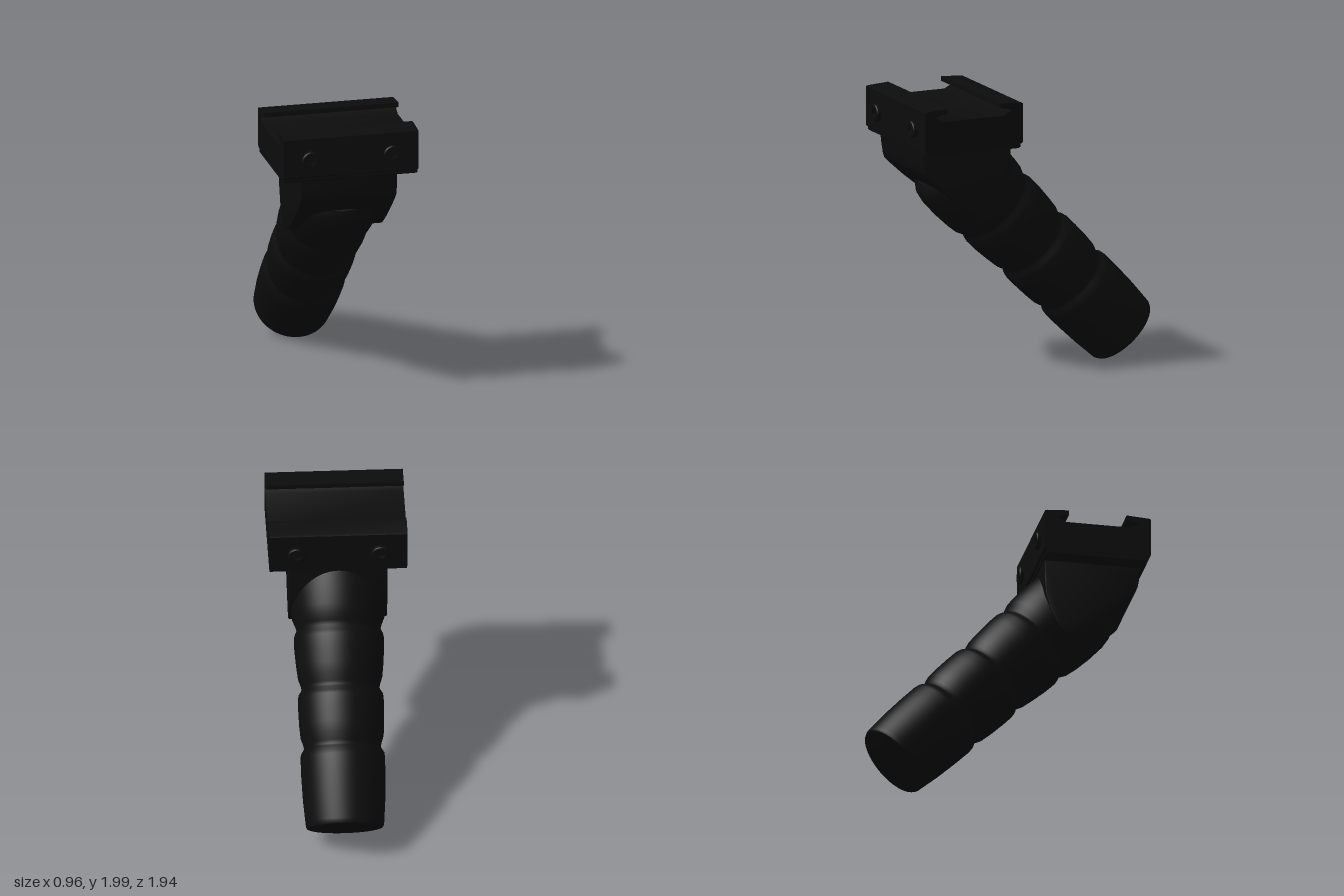
import * as THREE from 'three';
import { toCreasedNormals } from 'three/addons/utils/BufferGeometryUtils.js';

const black = new THREE.MeshStandardMaterial({ color: 0x0c0c0c });
black.name = 'matte black';

const vec = (pts) => pts.map(([a, b]) => new THREE.Vector2(a, b));

function addMesh(parent, name, geometry) {
  const mesh = new THREE.Mesh(geometry, black);
  mesh.name = name;
  parent.add(mesh);
  return mesh;
}

// Extrude a side outline given as [z, y] across the width, centred on x = 0
function sideExtrude(pts, halfWidth, bevel = 0) {
  const depth = 2 * (halfWidth - bevel);
  const geo = new THREE.ExtrudeGeometry(new THREE.Shape(vec(pts)), {
    depth, bevelEnabled: bevel > 0, bevelSize: bevel, bevelOffset: -bevel,
    bevelThickness: bevel, bevelSegments: 2,
  });
  geo.translate(0, 0, -depth / 2);
  geo.rotateY(-Math.PI / 2);
  return toCreasedNormals(geo, 0.6);
}

function lathe(pts, segments) {
  return toCreasedNormals(new THREE.LatheGeometry(vec(pts), segments), 0.6);
}

export function createModel() {
  const group = new THREE.Group();
  group.name = 'angledGrip';

  // Rail clamp: channel with two inward hooked jaws
  addMesh(group, 'railClamp', sideExtrude([
    [0.93, 1.7], [0.945, 1.71], [0.945, 1.985], [0.93, 1.99], [0.775, 2], [0.775, 1.967],
    [0.865, 1.945], [0.8, 1.91], [0.345, 1.91], [0.28, 1.945], [0.37, 1.967],
    [0.37, 2], [0.215, 1.99], [0.2, 1.985], [0.2, 1.71], [0.215, 1.7],
  ], 0.478));
  addMesh(group, 'clampBase', sideExtrude([
    [0.915, 1.67], [0.93, 1.68], [0.93, 1.72], [0.215, 1.72], [0.215, 1.68], [0.23, 1.67],
  ], 0.474));

  // Bolt heads with sunken sockets on both jaws
  const bolt = lathe([
    [0, 0.005], [0.033, 0.005], [0.033, 0.03], [0.055, 0.03], [0.062, 0.023], [0.062, -0.02],
  ].reverse(), 28);
  for (const x of [-0.29, 0.29]) {
    const front = addMesh(group, 'frontBolt', bolt);
    front.position.set(x, 1.836, 0.945);
    front.rotation.x = Math.PI / 2;
    const back = addMesh(group, 'backBolt', bolt);
    back.position.set(x, 1.836, 0.2);
    back.rotation.x = -Math.PI / 2;
  }

  // Neck block between clamp and handle
  addMesh(group, 'neck', sideExtrude([
    [0.905, 1.69], [0.895, 1.6], [0.883, 1.53], [0.873, 1.505], [0.85, 1.48], [0.74, 1.38],
    [0.58, 1.25], [0.47, 1.17], [0.42, 1.152], [0.37, 1.15], [0.335, 1.175],
    [0.27, 1.3], [0.235, 1.43], [0.225, 1.55], [0.225, 1.69],
  ], 0.34, 0.008));

  // Handle: turned profile [radius, distance from the butt], tilted 45 degrees
  const profile = [
    [0, 0], [0.25, 0], [0.262, 0.004], [0.27, 0.018], [0.272, 0.04], [0.285, 0.2],
    [0.291, 0.36], [0.292, 0.49], [0.288, 0.52], [0.27, 0.548], [0.266, 0.562], [0.27, 0.585],
    [0.287, 0.635], [0.294, 0.72], [0.297, 0.83], [0.296, 0.91], [0.29, 0.935],
    [0.273, 0.96], [0.27, 0.975], [0.274, 0.997], [0.291, 1.045], [0.301, 1.13],
    [0.31, 1.24], [0.311, 1.325], [0.305, 1.35], [0.293, 1.375], [0.291, 1.388],
    [0.3, 1.415], [0.319, 1.46], [0.328, 1.53], [0.333, 1.65], [0.328, 1.78],
    [0.313, 1.85], [0.285, 1.89], [0.25, 1.915], [0, 1.915],
  ];
  const handle = new THREE.Group();
  handle.name = 'handle';
  handle.position.set(0, 0.195, -0.78);
  handle.rotation.x = Math.PI / 4;
  addMesh(handle, 'handleBody', lathe(profile, 64));
  group.add(handle);

  return group;
}
